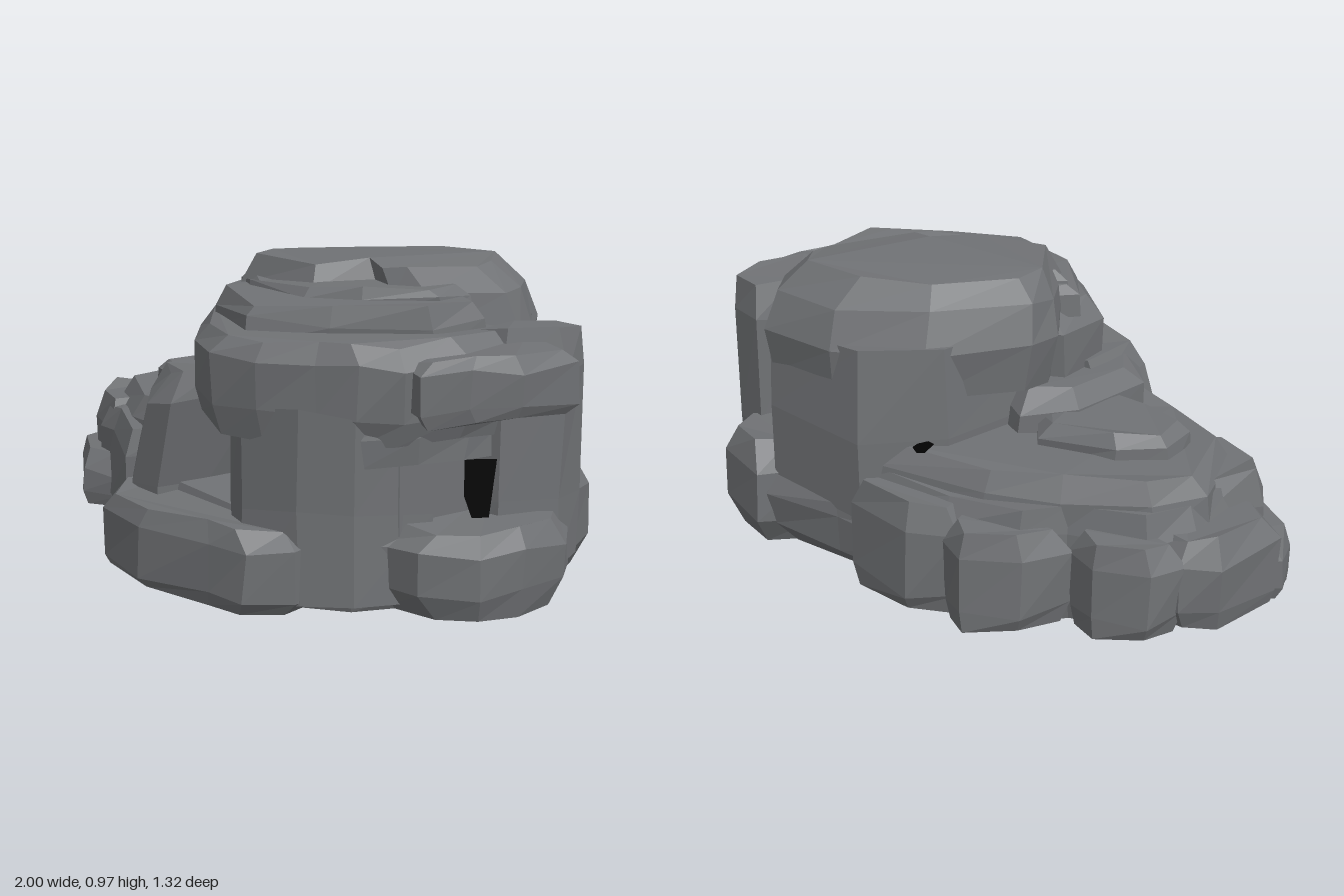
import * as THREE from 'three';

const stone = new THREE.MeshStandardMaterial({ color: 0x707275, flatShading: true });
stone.name = 'grey stone';
const dark = new THREE.MeshStandardMaterial({ color: 0x020202, side: THREE.DoubleSide });
dark.name = 'cave black';

// Repeatable small offset in -1..1
const wobble = (n) => {
  const s = Math.sin(n * 127.1 + 11.7) * 43758.5453;
  return (s - Math.floor(s)) * 2 - 1;
};

// Faceted rock: an [x, z] outline lofted through levels of [y, scale, shiftX, shiftZ]
function rock(name, outline, levels) {
  let pts = outline.map(([x, z]) => new THREE.Vector2(x, z));
  if (THREE.ShapeUtils.isClockWise(pts)) pts = pts.reverse();
  const n = pts.length;
  const c = pts.reduce((a, p) => a.add(p), new THREE.Vector2()).divideScalar(n);
  const pos = [];
  const idx = [];
  levels.forEach(([y, s, dx = 0, dz = 0], k) => pts.forEach((p, i) => {
    const id = name.length * 31 + k * 17 + i * 3;
    const x = c.x + (p.x - c.x) * s + dx + 0.008 * wobble(id);
    const z = c.y + (p.y - c.y) * s + dz + 0.008 * wobble(id + 0.4);
    // The underside lifts gently towards the low end
    const h = y < 0.01 ? 0.045 * Math.max(0, -x) : y + 0.014 * wobble(id + 0.7);
    pos.push(x, h, z);
  }));
  for (let k = 0; k < levels.length - 1; k++) {
    for (let i = 0; i < n; i++) {
      const a = k * n + i, b = k * n + (i + 1) % n;
      idx.push(a, a + n, b, b, a + n, b + n);
    }
  }
  const top = (levels.length - 1) * n;
  THREE.ShapeUtils.triangulateShape(pts, []).forEach(([a, b, d]) => {
    idx.push(a, b, d, top + a, top + d, top + b);
  });
  const g = new THREE.BufferGeometry();
  g.setAttribute('position', new THREE.Float32BufferAttribute(pos, 3));
  g.setIndex(idx);
  const flat = g.toNonIndexed();
  flat.computeVertexNormals();
  const mesh = new THREE.Mesh(flat, stone);
  mesh.name = name;
  return mesh;
}

// Ground boulder with a chamfered foot and crown
const boulder = (name, outline, h, foot = 0) =>
  rock(name, outline, [[foot, 0.88], [foot + 0.06, 1], [h * 0.76, 1], [h, 0.76]]);

// Thin dark opening, turned about y or tilted about x
function opening(name, points, [x, y, z], turn = 0, tilt = 0) {
  const shape = new THREE.Shape(points.map(([u, v]) => new THREE.Vector2(u, v)));
  const mesh = new THREE.Mesh(new THREE.ShapeGeometry(shape), dark);
  mesh.name = name;
  mesh.position.set(x, y, z);
  mesh.rotation.set(tilt, turn, 0);
  return mesh;
}

export function createModel() {
  const model = new THREE.Group();
  model.name = 'rockFormation';

  // Ground level of the tower
  model.add(
    rock('foundation', [[-0.3, 0.42], [0.5, 0.46], [0.66, 0.34], [0.77, 0.1], [0.78, -0.3], [0.7, -0.54], [0.5, -0.62], [0.2, -0.61], [-0.15, -0.63], [-0.3, 0]],
      [[0, 0.87, 0, 0.03], [0.09, 0.98], [0.2, 1], [0.26, 0.96]]),
    rock('frontShelf', [[-0.34, 0.47], [-0.23, 0.61], [0.05, 0.66], [0.33, 0.6], [0.47, 0.58], [0.56, 0.46], [0.5, 0.15], [-0.3, 0.15]],
      [[0, 0.9], [0.04, 1], [0.19, 1], [0.25, 0.85]]),
    rock('sideShelf', [[0.6, 0.25], [0.82, 0.22], [0.94, 0.1], [0.99, -0.04], [0.98, -0.22], [0.85, -0.38], [0.6, -0.3]],
      [[0, 0.8], [0.08, 0.99], [0.2, 1], [0.265, 0.82]]),
    rock('rearCornerBoulder', [[0.4, -0.5], [0.52, -0.65], [0.76, -0.57], [0.84, -0.4], [0.6, -0.3]],
      [[0, 0.7], [0.1, 1], [0.27, 1], [0.36, 0.6, 0.02]]),
  );

  // Tower body around the caves
  model.add(
    rock('towerCore', [[-0.17, 0.16], [0.26, 0.16], [0.32, 0.34], [0.5, 0.34], [0.71, 0.2], [0.73, -0.05], [0.68, -0.22], [0.58, -0.32], [0.58, -0.5], [0.5, -0.59], [0.1, -0.6], [-0.1, -0.42]],
      [[0.15, 1], [0.5, 1], [0.78, 0.97]]),
    rock('leftJamb', [[-0.36, 0.1], [-0.35, 0.4], [-0.22, 0.49], [-0.08, 0.5], [-0.07, 0.3], [-0.08, 0.1]],
      [[0.02, 1], [0.26, 1], [0.53, 0.92, 0.075], [0.62, 0.72, 0.09, -0.03]]),
    rock('rightJamb', [[0.25, 0.15], [0.26, 0.46], [0.35, 0.5], [0.55, 0.44], [0.68, 0.34], [0.75, 0.1], [0.5, 0.08]],
      [[0.02, 1], [0.3, 0.99], [0.6, 0.99]]),
    rock('rearPillar', [[0.72, -0.06], [0.83, -0.09], [0.91, -0.27], [0.87, -0.4], [0.73, -0.44], [0.66, -0.3]],
      [[0.1, 0.98], [0.3, 1], [0.68, 1], [0.81, 0.84]]),
    rock('overhang', [[-0.22, 0], [-0.21, 0.22], [0.02, 0.42], [0.27, 0.54], [0.42, 0.5], [0.57, 0.4], [0.68, 0.34], [0.78, 0.24], [0.84, 0.05], [0.84, -0.22], [0.4, -0.3]],
      [[0.51, 0.92], [0.59, 0.99], [0.74, 1], [0.8, 0.88]]),
    rock('sideHem', [[0.5, 0.42], [0.67, 0.33], [0.77, 0.18], [0.81, 0.02], [0.8, -0.12], [0.6, -0.12]],
      [[0.45, 0.95], [0.52, 1], [0.62, 1]]),
    rock('sideLedge', [[0.7, 0.2], [0.83, 0.24], [0.92, 0.12], [0.98, -0.02], [0.99, -0.24], [0.75, -0.32]],
      [[0.58, 0.85], [0.62, 1], [0.73, 1], [0.77, 0.8]]),
  );

  // Stepped summit
  model.add(
    rock('lowerTerrace', [[-0.2, 0.1], [-0.05, 0.28], [0.27, 0.41], [0.48, 0.27], [0.72, 0.08], [0.7, -0.14], [0.5, -0.25], [0, -0.1]],
      [[0.76, 1.02], [0.83, 1], [0.88, 0.92]]),
    rock('upperTerrace', [[-0.15, 0.1], [0.02, 0.2], [0.3, 0.22], [0.46, 0.12], [0.6, -0.05], [0.58, -0.2], [0.1, -0.2]],
      [[0.84, 1.03], [0.89, 1], [0.91, 0.9]]),
    rock('capBoulder', [[-0.24, -0.05], [-0.24, -0.19], [-0.04, -0.45], [0.22, -0.6], [0.5, -0.6], [0.6, -0.47], [0.62, -0.37], [0.55, -0.08], [0.46, -0.03], [0.33, -0.08], [0.24, 0.12], [-0.1, 0.15]],
      [[0.61, 0.95], [0.76, 1], [0.88, 0.94, 0, 0.03], [0.965, 0.79, -0.02, 0.05]]),
  );

  // Low terraced end
  model.add(
    rock('lowBody', [[-0.3, 0.47], [-0.58, 0.34], [-0.7, 0.3], [-0.85, 0.1], [-0.85, -0.15], [-0.78, -0.3], [-0.55, -0.4], [-0.45, -0.52], [-0.2, -0.58], [0.1, -0.6], [0.1, -0.2], [-0.14, 0.1], [-0.14, 0.36]],
      [[0, 0.94], [0.1, 1], [0.32, 0.98], [0.4, 0.92]]),
    rock('middleTier', [[-0.84, -0.08], [-0.76, -0.27], [-0.52, -0.4], [-0.3, -0.5], [0.1, -0.57], [0.1, -0.3], [-0.12, 0.08], [-0.23, 0.41], [-0.45, 0.35], [-0.74, 0.2]],
      [[0.32, 1.02], [0.41, 0.98], [0.475, 0.87]]),
    rock('topLump', [[-0.66, -0.05], [-0.55, -0.17], [-0.3, -0.23], [-0.2, -0.1], [-0.22, 0.14], [-0.45, 0.16], [-0.64, 0.09]],
      [[0.42, 1.03], [0.5, 1], [0.545, 0.84]]),
    rock('stepToTower', [[-0.34, -0.08], [-0.36, 0.24], [-0.24, 0.4], [-0.1, 0.3], [-0.1, -0.15], [-0.2, -0.2]],
      [[0.4, 1.03], [0.54, 0.97], [0.6, 0.75, 0.02]]),
    rock('westLedge', [[-1, 0.08], [-0.94, 0.23], [-0.68, 0.38], [-0.55, 0.33], [-0.6, 0], [-0.86, -0.02]],
      [[0.045, 0.95], [0.09, 1], [0.17, 0.99], [0.24, 0.84]]),
  );
  [
    ['westBoulder', [[-0.9, 0.12], [-0.82, 0.24], [-0.6, 0.32], [-0.5, 0.1], [-0.8, -0.05]], 0.43, 0.045],
    ['northWestBoulder', [[-1, 0.06], [-0.95, -0.18], [-0.86, -0.27], [-0.6, -0.25], [-0.6, 0.1], [-0.9, 0.12]], 0.34, 0.045],
    ['rearBoulderA', [[-0.87, -0.25], [-0.83, -0.37], [-0.68, -0.44], [-0.56, -0.4], [-0.5, -0.2]], 0.34, 0.04],
    ['rearBoulderB', [[-0.57, -0.4], [-0.5, -0.55], [-0.35, -0.65], [-0.24, -0.6], [-0.18, -0.4]], 0.35, 0.03],
    ['rearBoulderC', [[-0.28, -0.58], [-0.14, -0.66], [0.12, -0.62], [0.16, -0.4], [-0.25, -0.4]], 0.38, 0.02],
  ].forEach((b) => model.add(boulder(...b)));

  // Dark cave mouths
  model.add(
    opening('frontCave', [[-0.09, 0.22], [-0.09, 0.4], [0, 0.56], [0.03, 0.56], [0.09, 0.49], [0.1, 0.45], [0.18, 0.44], [0.2, 0.47], [0.26, 0.45], [0.26, 0.22]], [0, 0, 0.19]),
    opening('sideCrack', [[-0.02, -0.1], [0.03, -0.1], [0.05, 0.08], [-0.045, 0.08], [-0.045, -0.03]], [0.8, 0.36, -0.035], 0.95),
    opening('rearCrack', [[-0.06, -0.08], [0.04, -0.08], [0.04, 0.09], [-0.06, 0.09]], [0.64, 0.39, -0.385]),
    opening('shelfHole', [[-0.025, -0.025], [0.02, -0.03], [0.03, 0.015], [0, 0.03], [-0.025, 0.02]], [-0.06, 0.487, -0.485], 0, -1.9),
  );

  return model;
}
